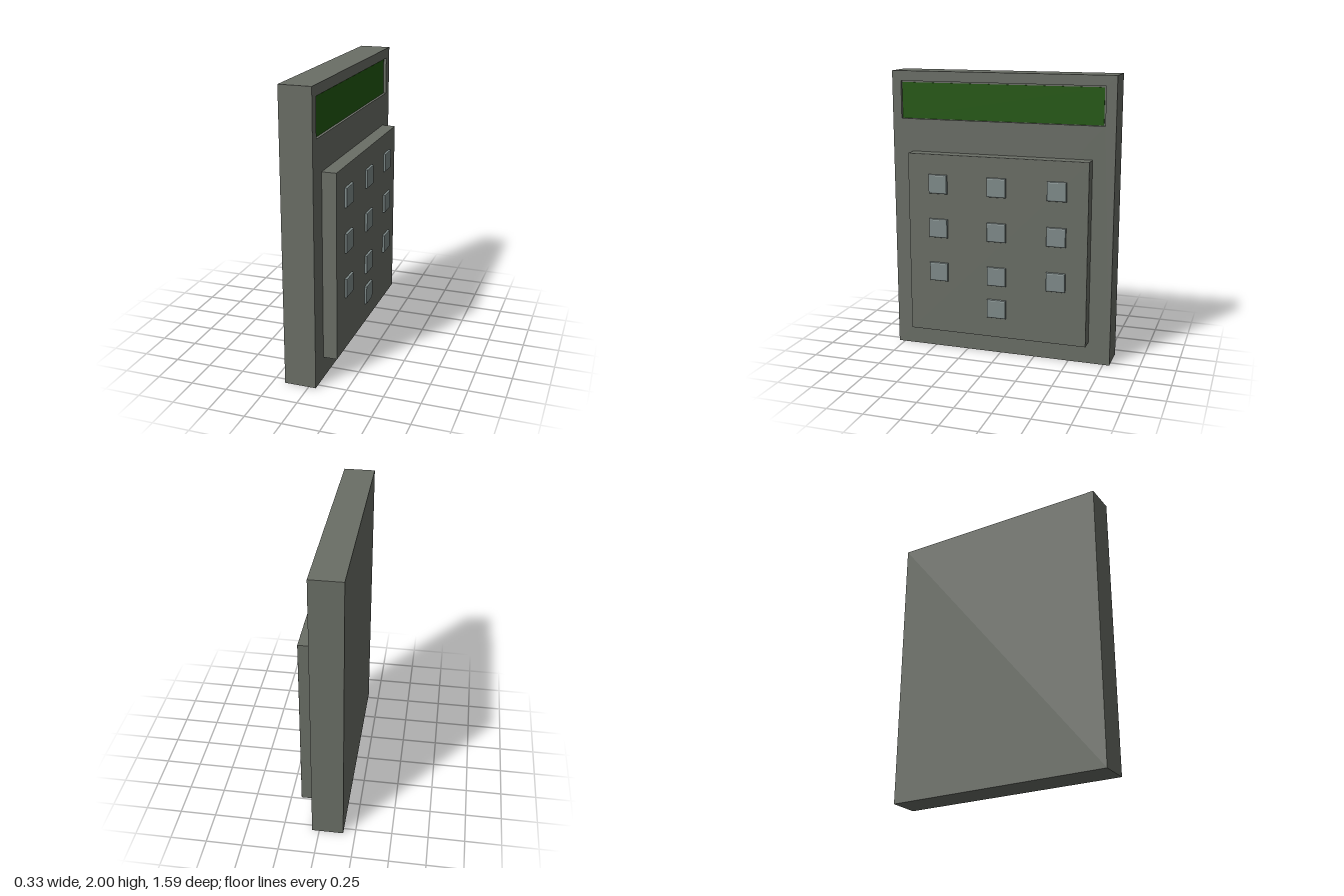
import * as THREE from 'three';

const mat = (name, color) => {
  const m = new THREE.MeshStandardMaterial({ color });
  m.name = name;
  return m;
};

// Rectangle outline from two corners
function rect(Type, x0, y0, x1, y1) {
  return new Type([[x0, y0], [x1, y0], [x1, y1], [x0, y1]].map(p => new THREE.Vector2(...p)));
}

// Slab between z0 and z1 whose front rim is chamfered by b
function slab(x0, y0, x1, y1, z0, z1, b) {
  const g = new THREE.ExtrudeGeometry(rect(THREE.Shape, x0, y0, x1, y1), {
    depth: z1 - z0 - 2 * b, bevelEnabled: b > 0, bevelThickness: b, bevelSize: b,
    bevelOffset: -b, bevelSegments: 2,
  });
  return g.translate(0, 0, z0 + b);
}

export function createModel() {
  const casing = mat('casingGrey', 0x6a6e66);
  const keyGrey = mat('keyGrey', 0x7f8b8a);
  const green = mat('screenGreen', 0x22580e);

  const model = new THREE.Group();
  model.name = 'calculator';
  // The keypad side is built facing +z, then turned to face +x
  const device = new THREE.Group();
  device.name = 'device';
  device.rotation.y = Math.PI / 2;
  model.add(device);

  const add = (name, geometry, material) => {
    const mesh = new THREE.Mesh(geometry, material);
    mesh.name = name;
    device.add(mesh);
  };

  // Casing: solid back and a face plate with the screen opening
  add('casing', slab(-0.795, 0, 0.795, 2, -0.167, 0.03, 0), casing);
  const face = rect(THREE.Shape, -0.795, 0, 0.795, 2);
  face.holes.push(rect(THREE.Path, -0.73, 1.668, 0.722, 1.93));
  const faceGeometry = new THREE.ExtrudeGeometry(face, { depth: 0.02, bevelEnabled: false });
  add('facePlate', faceGeometry.translate(0, 0, 0.03), casing);

  // Screen at the bottom of the recess
  add('screen', slab(-0.727, 1.67, 0.71, 1.92, 0.028, 0.034, 0), green);

  // Raised keypad
  add('keypad', slab(-0.647, 0.153, 0.643, 1.44, 0.045, 0.147, 0.003), casing);

  // Keys: three rows of three and a single one below
  const rows = [1.232, 0.917, 0.6, 0.364];
  rows.forEach((y, row) => {
    for (const x of row < 3 ? [-0.424, 0.002, 0.427] : [0.002]) {
      add('key', slab(x - 0.068, y - 0.067, x + 0.068, y + 0.067, 0.135, 0.165, 0.009), keyGrey);
    }
  });
  return model;
}
